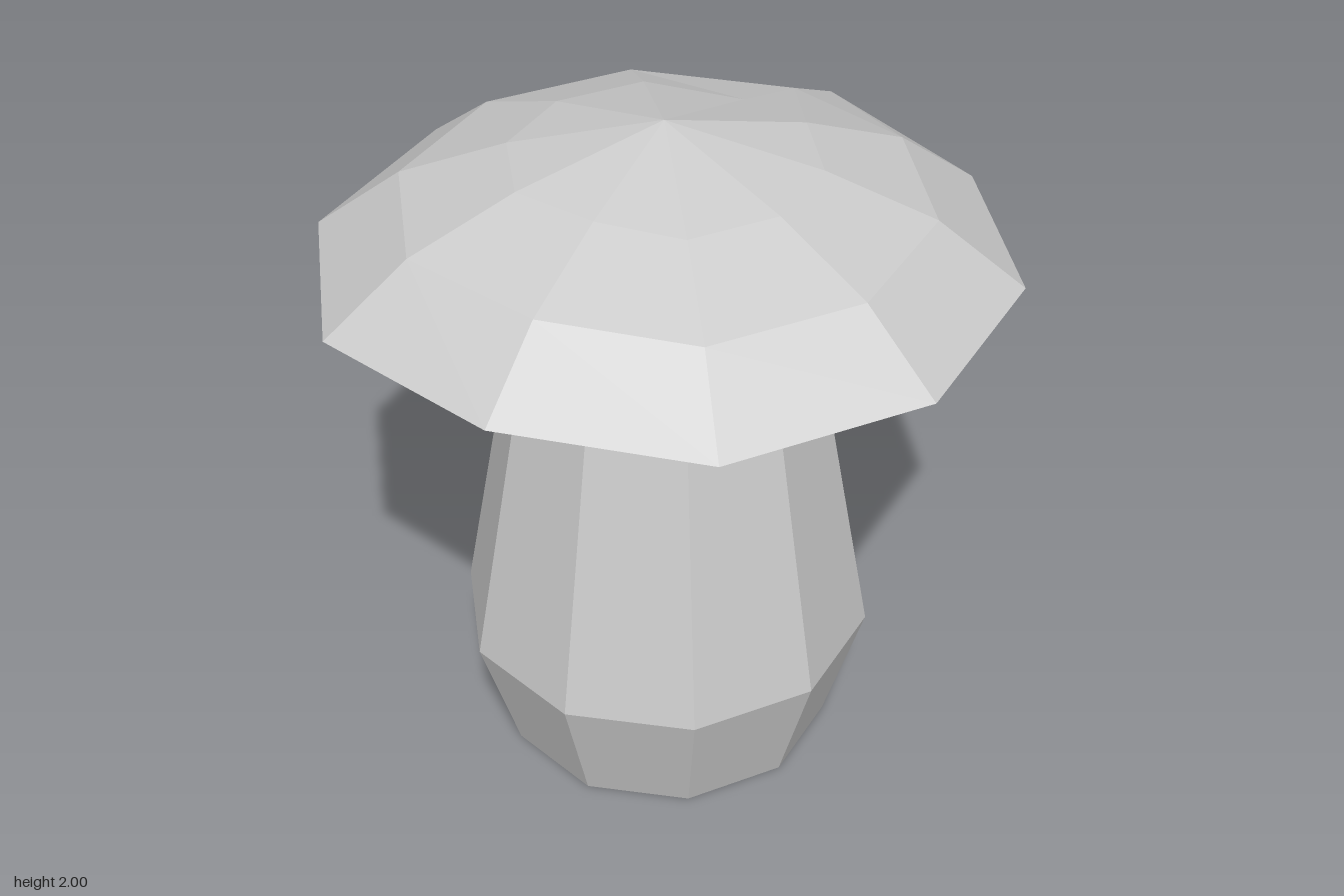
import * as THREE from 'three';

const SIDES = 10;
const AXIS_Z = 0.07; // stem and cap share an axis slightly forward of centre

// Faceted turned solid from [radius, height] pairs, listed bottom to top
function turned(name, profile) {
  const points = profile.map(([r, y]) => new THREE.Vector2(r, y));
  const geometry = new THREE.LatheGeometry(points, SIDES);
  const material = new THREE.MeshStandardMaterial({ color: 0xcccccc, flatShading: true });
  const mesh = new THREE.Mesh(geometry, material);
  mesh.name = name;
  mesh.position.z = AXIS_Z;
  return mesh;
}

// Make the cap uneven: pull the front corners in, stretch and sag the back ridge
function bendCap(geometry) {
  const p = geometry.attributes.position;
  for (let i = 0; i < p.count; i++) {
    const z = p.getZ(i), y = p.getY(i);
    if (Math.abs(p.getX(i)) > 1e-3 || Math.abs(z) < 1e-3) continue;
    if (z > 0) {
      p.setZ(i, z - 0.05);
    } else {
      p.setZ(i, z * 1.092);
      if (y > 1.6) p.setY(i, y - 0.05);
    }
  }
  geometry.computeVertexNormals();
}

export function createModel() {
  const group = new THREE.Group();
  group.name = 'mushroom';

  // Stem with a closed base, bulging low and narrowing below the cap
  const stem = turned('stem', [[0, 0], [0.487, 0], [0.604, 0.38], [0.453, 1.225], [0.5, 1.51]]);

  // Cap with flat underside, bevelled rim and domed top
  const cap = turned('cap', [[0, 1.51], [0.84, 1.51], [0.98, 1.58], [0.737, 1.765], [0.43, 1.885], [0, 1.995]]);
  bendCap(cap.geometry);

  group.add(stem, cap);
  return group;
}
